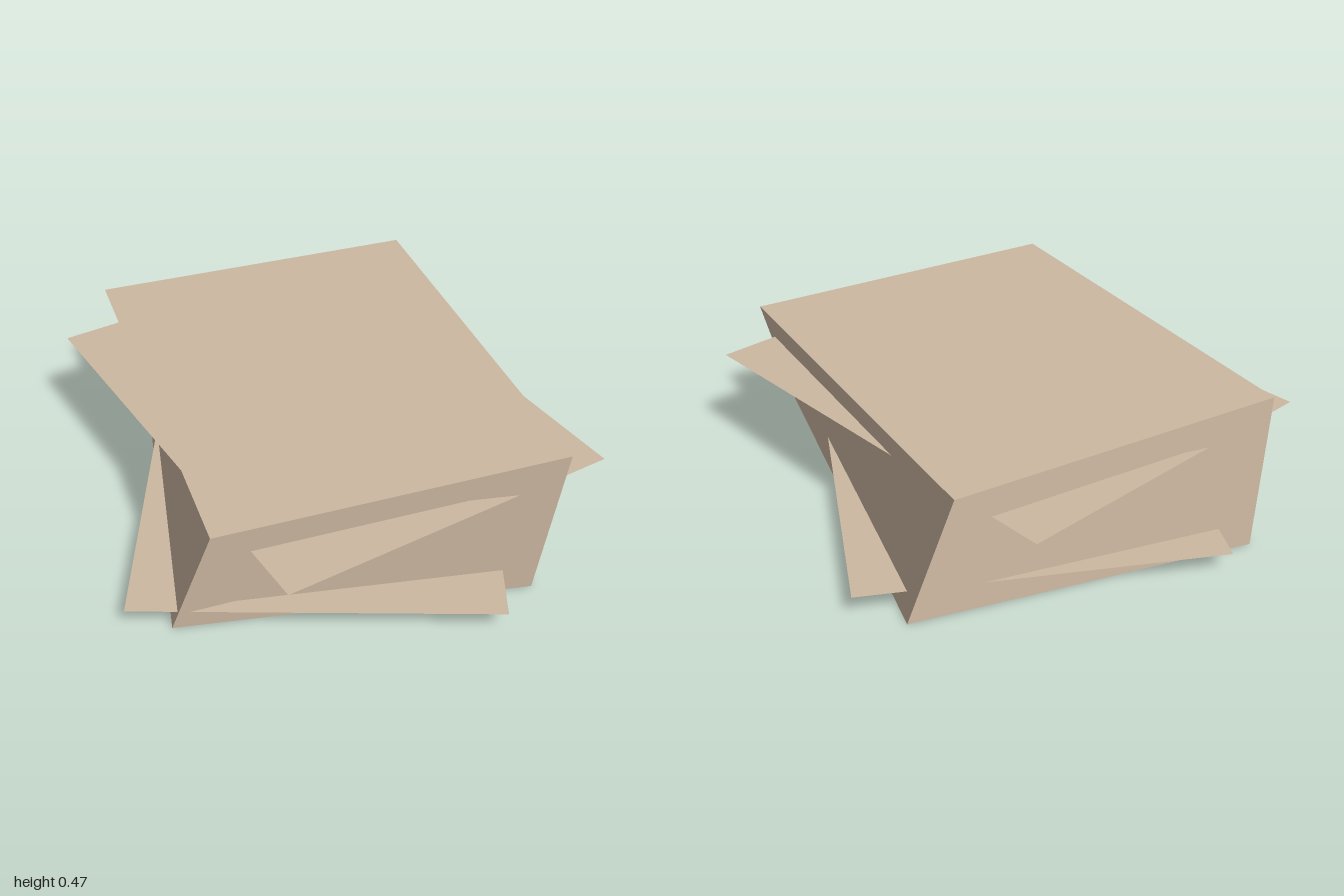
import * as THREE from 'three';

const HEIGHT = 0.47;

// Corner rings, counter-clockwise seen from above: back-left, front-left, front-right, back-right
const BASE = [[-0.605, -0.8], [-0.605, 0.73], [0.605, 0.73], [0.605, -0.8]];
const TOP = [[-0.73, -0.66], [-0.47, 0.847], [0.725, 0.64], [0.465, -0.866]];

// Block whose upper ring is turned and splayed; each quad keeps a single normal
function twistedBlock() {
  const low = BASE.map(([x, z]) => new THREE.Vector3(x, 0, z));
  const high = TOP.map(([x, z]) => new THREE.Vector3(x, HEIGHT, z));
  const positions = [];
  const normals = [];
  const addQuad = (a, b, c, d) => {
    const normal = c.clone().sub(a).cross(d.clone().sub(b)).normalize();
    for (const p of [a, b, c, a, c, d]) {
      positions.push(p.x, p.y, p.z);
      normals.push(normal.x, normal.y, normal.z);
    }
  };
  for (let i = 0; i < 4; i++) {
    const j = (i + 1) % 4;
    addQuad(low[i], low[j], high[j], high[i]);
  }
  addQuad(...high);
  addQuad(...low.slice().reverse());
  const geometry = new THREE.BufferGeometry();
  geometry.setAttribute('position', new THREE.Float32BufferAttribute(positions, 3));
  geometry.setAttribute('normal', new THREE.Float32BufferAttribute(normals, 3));
  return geometry;
}

export function createModel() {
  const group = new THREE.Group();
  group.name = 'paperStack';

  const paper = new THREE.MeshStandardMaterial({ color: 0xcdb8a2, side: THREE.DoubleSide });
  paper.name = 'tan paper';

  // Main stack
  const stack = new THREE.Mesh(twistedBlock(), paper);
  stack.name = 'stack';
  group.add(stack);

  // Loose sheets sticking out of the stack at different angles
  const addSheet = (name, y, degrees) => {
    const geometry = new THREE.PlaneGeometry(1.24, 1.65).rotateX(-Math.PI / 2);
    const sheet = new THREE.Mesh(geometry, paper);
    sheet.name = name;
    sheet.position.y = y;
    sheet.rotation.y = THREE.MathUtils.degToRad(degrees);
    group.add(sheet);
  };
  addSheet('upperSheet', 0.35, 22.5);
  addSheet('lowerSheet', 0.075, -10);

  return group;
}
